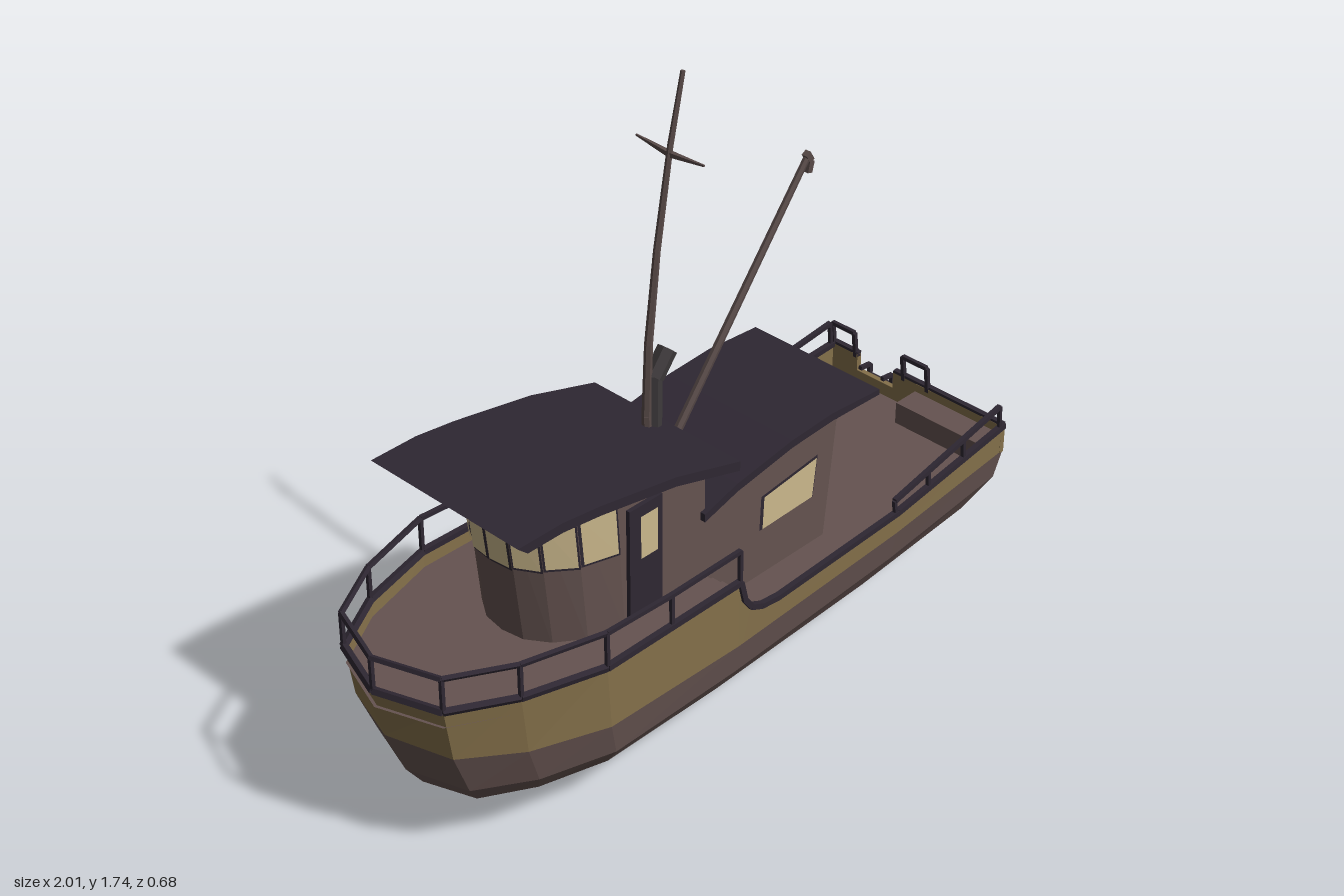
import * as THREE from 'three';

const BROWN = 0x655350, OLIVE = 0x84704a, DARK = 0x2e2732, GLASS = 0xcbb88c, STEEL = 0x3e3a3c, POLE = 0x584a48, CREAM = 0xb8a878;
const V = (x, y, z) => new THREE.Vector3(x, y, z);
const lerp = THREE.MathUtils.lerp;

function add(parent, name, geo, color) {
  const mat = new THREE.MeshStandardMaterial({ color, flatShading: true, side: THREE.DoubleSide });
  const m = new THREE.Mesh(geo, mat);
  m.name = name;
  parent.add(m);
  return m;
}

function box(parent, name, x0, x1, y0, y1, z0, z1, color) {
  const m = add(parent, name, new THREE.BoxGeometry(x1 - x0, y1 - y0, z1 - z0), color);
  m.position.set((x0 + x1) / 2, (y0 + y1) / 2, (z0 + z1) / 2);
  return m;
}

// Faceted surface through rows of points
function loft(rows) {
  const pos = [];
  for (let i = 0; i + 1 < rows.length; i++)
    for (let j = 0; j + 1 < rows[i].length; j++) {
      const a = rows[i][j], b = rows[i][j + 1], c = rows[i + 1][j + 1], d = rows[i + 1][j];
      for (const p of [a, d, b, b, d, c]) pos.push(p.x, p.y, p.z);
    }
  const g = new THREE.BufferGeometry();
  g.setAttribute('position', new THREE.Float32BufferAttribute(pos, 3));
  g.computeVertexNormals();
  return g;
}

// Chain of straight bars, optionally tapering along its length
function bars(parent, name, pts, r, color, sides = 4, rEnd = r) {
  const g = new THREE.Group();
  g.name = name;
  for (let i = 0; i + 1 < pts.length; i++) {
    const d = pts[i + 1].clone().sub(pts[i]), n = pts.length - 1;
    const geo = new THREE.CylinderGeometry(lerp(r, rEnd, (i + 1) / n), lerp(r, rEnd, i / n), d.length(), sides);
    geo.rotateY(Math.PI / 4);
    const m = add(g, name + 'Bar', geo, color);
    m.position.copy(pts[i]).addScaledVector(d, 0.5);
    m.quaternion.setFromUnitVectors(V(0, 1, 0), d.normalize());
  }
  parent.add(g);
}

// Side profile (x, y) extruded across z
function slab(parent, name, pts, z0, z1, color) {
  const s = new THREE.Shape(pts.map(p => new THREE.Vector2(p[0], p[1])));
  const g = new THREE.ExtrudeGeometry(s, { depth: z1 - z0, bevelEnabled: false });
  return add(parent, name, g.translate(0, 0, z0), color);
}

// Framed pane: corners in order, pushed out along the given direction
function pane(parent, name, corners, out, inset = 0.12, frame = DARK) {
  const mid = corners.reduce((s, p) => s.add(p), V(0, 0, 0)).multiplyScalar(0.25);
  const quad = (k, off) => {
    const q = corners.map(p => p.clone().lerp(mid, k).addScaledVector(out, off));
    return loft([[q[0], q[1]], [q[3], q[2]]]);
  };
  add(parent, name + 'Frame', quad(0, 0.004), frame);
  add(parent, name + 'Glass', quad(inset, 0.008), GLASS);
}

// Hull stations: x, half width, sheer height
const ST = [[-1, 0, .52], [-.94, .175, .52], [-.78, .265, .52], [-.56, .325, .515], [-.1, .32, .51], [-.085, .32, .45],
  [-.06, .32, .415], [-.02, .32, .397], [.04, .32, .39], [.5, .32, .41], [.96, .3, .45]];
// Hull levels: bow x, stern x, heights at bow, middle and stern, width factor
const LV = [[-1, .96, 0, 0, 0, 1], [-.975, .965, .37, .31, .365, .995], [-.92, .95, .23, .22, .28, .95],
  [-.87, .88, .16, .14, .18, .78], [-.73, .3, .07, .03, .03, .44], [-.52, .3, .02, .002, .012, 0]];
const CUT = 9, END = 10;

function hullPoint(l, i, side) {
  const [bx, sx, yb, ym, ys, w] = LV[l], [x, hw, sheer] = ST[i];
  const f = Math.min(1, (x + 1) / .9), a = Math.max(0, (x + .1) / (l > 3 ? .6 : 1.06));
  const px = x <= -.1 ? lerp(bx, -.1, f) : lerp(-.1, sx, a);
  const py = l === 0 ? sheer : ym + (yb - ym) * (1 - f) ** 2 + (ys - ym) * a;
  return V(px, py, side * hw * w);
}

const row = (l, side, from, to) => ST.slice(from, to + 1).map((_, k) => hullPoint(l, from + k, side));

function buildHull(root) {
  for (const s of [1, -1]) {
    add(root, 'hullBand', loft([0, 1].map(l => row(l, s, 0, END))), OLIVE);
    add(root, 'hullSide', loft([1, 2, 3].map(l => row(l, s, 0, END))), BROWN);
    add(root, 'hullBottom', loft([3, 4, 5].map(l => row(l, s, 0, CUT))), BROWN);
    add(root, 'sternRecess', loft([3, 4, 5].map(l => [hullPoint(l, CUT, s), V(hullPoint(l, CUT, s).x, hullPoint(l, CUT, s).y, 0)])), BROWN);
    bars(root, 'sheerRail', row(0, s, 0, END), .011, DARK);
  }
  const across = l => i => [hullPoint(l, i, 1), hullPoint(l, i, -1)];
  add(root, 'sternUnderside', loft([CUT, END].map(across(3))), BROWN);
  add(root, 'transomLower', loft([1, 2, 3].map(l => across(l)(END))), BROWN);
  // Transom top with a gap for the ladder
  for (const [a, b, y] of [[-.3, -.21, .45], [-.21, -.08, .4], [-.08, .3, .45]]) {
    box(root, 'transomUpper', .95, .966, .362, y, a, b, OLIVE);
    if (y > .42) bars(root, 'transomRail', [V(.958, y, a), V(.958, y, b)], .011, DARK);
  }
  // Decks
  const deck = (from, to, y) => loft([1, -1].map(s => row(0, s * .985, from, to).map(p => V(p.x, y, p.z))));
  add(root, 'foredeck', deck(0, 4, .47), BROWN);
  add(root, 'aftDeck', deck(4, END, .36), BROWN);
  box(root, 'deckStep', -.11, -.1, .35, .47, -.31, .31, BROWN);
  for (let i = 0; i < 3; i++) box(root, 'stair', -.1, -.07 + i * .035, .36, .445 - i * .03, .2, .31, BROWN);
}

function buildWheelhouse(root) {
  const plan = [[-.6, 0], [-.59, .065], [-.55, .125], [-.48, .175], [-.38, .2], [-.1, .2]];
  const roofTop = [[-.76, .925], [-.62, .925], [-.5, .91], [-.25, .865], [-.03, .8]];
  const top = x => x < -.5 ? .9 : lerp(.89, .79, (x + .5) / .4);
  const at = (i, y, s) => {
    const [x, z] = plan[i];
    return V(x - .045 * Math.max(0, (-.1 - x) / .5) * (y - .5) / .4, y, s * z);
  };
  for (const s of [1, -1]) {
    add(root, 'wheelhouseWall', loft([plan.map((_, i) => at(i, .45, s)), plan.map((p, i) => at(i, top(p[0]), s))]), BROWN);
    for (let i = 0; i < 4; i++) {
      const c = [at(i, .695, s), at(i + 1, .69, s), at(i + 1, .84, s), at(i, .85, s)];
      const d = c[1].clone().sub(c[0]);
      pane(root, 'wheelhouseWindow', c, V(-Math.abs(d.z), 0, s * Math.abs(d.x)).normalize());
    }
  }
  box(root, 'wheelhouseBackWall', -.11, -.1, .45, .79, -.2, .2, BROWN);
  const under = roofTop.map(([x, y], i) => [x + (i ? 0 : .03), y - .027]).reverse();
  slab(root, 'wheelhouseRoof', [...roofTop, ...under], -.25, .25, DARK);
  // Door on the left side, plain window opposite
  box(root, 'sideDoor', -.37, -.26, .48, .805, .19, .212, DARK);
  for (const s of [1, -1])
    pane(root, 'sideWindow', [V(-.34, .645, s * .208), V(-.275, .645, s * .208), V(-.275, .785, s * .208), V(-.34, .785, s * .208)], V(0, 0, s));
}

function buildAftCabin(root) {
  slab(root, 'aftCabin', [[-.1, .36], [.345, .36], [.385, .72], [.2, .71], [0, .68], [-.1, .65]], -.2, .2, BROWN);
  slab(root, 'aftRoof', [[-.115, .668], [0, .702], [.2, .733], [.35, .741], [.53, .728], [.53, .712], [.35, .718],
    [.2, .71], [0, .678], [-.115, .645]], -.215, .215, DARK);
  for (const s of [1, -1]) {
    pane(root, 'cabinWindow', [V(.095, .503, s * .2), V(.295, .508, s * .2), V(.31, .63, s * .2), V(.1, .605, s * .2)], V(0, 0, s), .07);
    bars(root, 'roofBrace', [V(.375, .645, s * .17), V(.475, .718, s * .17)], .004, DARK);
  }
  // Rear wall slopes outward toward the roof
  const wx = y => .347 + (y - .36) * .111;
  const onWall = (z0, z1, y0, y1) => [V(wx(y0), y0, z0), V(wx(y0), y0, z1), V(wx(y1), y1, z1), V(wx(y1), y1, z0)];
  const door = onWall(.045, .165, .365, .64).map(p => p.add(V(.004, 0, 0)));
  add(root, 'rearDoor', loft([[door[0], door[1]], [door[3], door[2]]]), DARK);
  pane(root, 'rearDoorWindow', onWall(.075, .14, .48, .63), V(1, 0, 0));
  const board = onWall(-.08, .09, .657, .69).map(p => p.add(V(.006, 0, 0)));
  add(root, 'rearBoard', loft([[board[0], board[1]], [board[3], board[2]]]), DARK);
  // Small side shelter
  box(root, 'sideShelter', -.11, .06, .36, .625, -.305, -.19, BROWN);
  slab(root, 'shelterRoof', [[-.13, .645], [.08, .645], [.08, .625], [-.13, .625]], -.062, .062, DARK)
    .position.set(0, 0, -.258);
  pane(root, 'shelterWindow', [V(-.06, .5, -.305), V(.02, .5, -.305), V(.02, .595, -.305), V(-.06, .595, -.305)], V(0, 0, -1));
}

function buildRigging(root) {
  bars(root, 'mast', [V(-.09, .66, 0), V(-.098, .85, 0), V(-.09, 1.05, 0), V(-.06, 1.3, 0), V(-.015, 1.56, 0), V(.027, 1.74, 0)], .014, POLE, 6, .006);
  for (const s of [1, -1]) bars(root, 'crossArm', [V(-.016, 1.54, 0), V(-.016, 1.55, s * .11)], .009, POLE, 4, .003);
  bars(root, 'boom', [V(-.015, .72, 0), V(.475, 1.35, 0)], .012, POLE, 6, .009);
  bars(root, 'boomFoot', [V(-.015, .68, 0), V(-.015, .745, 0)], .022, POLE, 6);
  bars(root, 'boomHook', [V(.465, 1.355, 0), V(.48, 1.33, 0), V(.472, 1.3, 0)], .012, POLE);
  bars(root, 'exhaustPipe', [V(-.075, .66, 0), V(-.072, .96, 0)], .021, STEEL, 6);
  bars(root, 'exhaustOutlet', [V(-.072, .95, 0), V(-.025, 1.01, 0)], .026, STEEL, 6);
}

function buildRailings(root) {
  for (const s of [1, -1]) {
    const lift = p => V(p.x, p.x < -.5 ? .617 : .605, p.z);
    const bow = row(0, s, 0, 4);
    bow.splice(4, 0, V(-.34, .513, s * .322));
    bars(root, 'bowRail', bow.map(lift), .008, DARK);
    for (const p of bow) bars(root, 'bowRailPost', [p, lift(p)], .007, DARK);
    const aft = [.49, .63, .78, .94].map(x => V(x, lerp(.41, .45, (x - .5) / .46), s * lerp(.32, .3, (x - .5) / .46)));
    const up = p => V(p.x - .006, p.y + lerp(.045, .073, (p.x - .49) / .45), p.z);
    bars(root, 'aftRail', aft.map(up), .009, DARK);
    for (const p of aft) bars(root, 'aftRailPost', [p, up(p)], .007, DARK);
  }
  for (const [a, b] of [[-.045, .04], [-.3, -.22]])
    bars(root, 'sternHandrail', [V(.955, .44, a), V(.945, .52, a), V(.945, .52, b), V(.955, .44, b)], .008, DARK);
  // Boarding ladder
  for (const z of [-.19, -.11]) bars(root, 'ladderRail', [V(.94, .42, z), V(.982, .415, z), V(.994, .19, z)], .008, DARK);
  for (let i = 0; i < 5; i++) bars(root, 'ladderRung', [V(.986, .38 - i * .042, -.19), V(.986, .38 - i * .042, -.11)], .006, DARK);
}

function buildRunningGear(root) {
  slab(root, 'rudder', [[.69, .165], [.8, .18], [.78, .1], [.795, .038], [.69, .045]], -.008, .008, BROWN);
  bars(root, 'rudderShoe', [V(.28, .028, 0), V(.71, .045, 0)], .008, BROWN);
  bars(root, 'propellerShaft', [V(.38, .1, 0), V(.65, .1, 0)], .007, STEEL, 6);
  bars(root, 'shaftStrut', [V(.52, .155, 0), V(.55, .1, 0)], .006, STEEL);
  for (let i = 0; i < 4; i++) {
    const blade = box(root, 'propellerBlade', -.004, .004, 0, .034, -.01, .01, STEEL);
    blade.geometry.translate(0, .017, 0);
    blade.position.set(.642, .1, 0);
    blade.rotation.set(i * Math.PI / 2, .5, 0, 'XYZ');
  }
}

function buildDeckGear(root) {
  box(root, 'sternBench', .87, .95, .36, .425, 0, .285, BROWN);
  box(root, 'crate', .27, .37, .36, .48, -.255, -.205, OLIVE);
  box(root, 'crate', .365, .45, .36, .425, -.17, -.08, OLIVE);
  box(root, 'crate', .365, .43, .36, .44, -.075, .01, OLIVE);
  for (const x of [.135, .24]) {
    const pot = add(root, 'pot', new THREE.CylinderGeometry(.045, .05, .075, 5), BROWN);
    pot.position.set(x, .398, -.255);
  }
  for (const [x, y, z] of [[.34, .44, -.27], [.4, .42, -.245], [.42, .44, -.28], [.37, .46, -.225]]) {
    const f = add(root, 'float', new THREE.SphereGeometry(.03, 6, 4), CREAM);
    f.scale.set(1.3, .5, .6);
    f.position.set(x, y, z);
    f.rotation.y = x * 9;
  }
  bars(root, 'gaff', [V(.32, .38, -.21), V(.27, .47, -.345)], .004, OLIVE);
}

export function createModel() {
  const root = new THREE.Group();
  root.name = 'fishingBoat';
  const boat = new THREE.Group();
  boat.name = 'boat';
  boat.position.z = .008;
  root.add(boat);
  for (const build of [buildHull, buildWheelhouse, buildAftCabin, buildRigging, buildRailings, buildRunningGear, buildDeckGear]) build(boat);
  return root;
}
